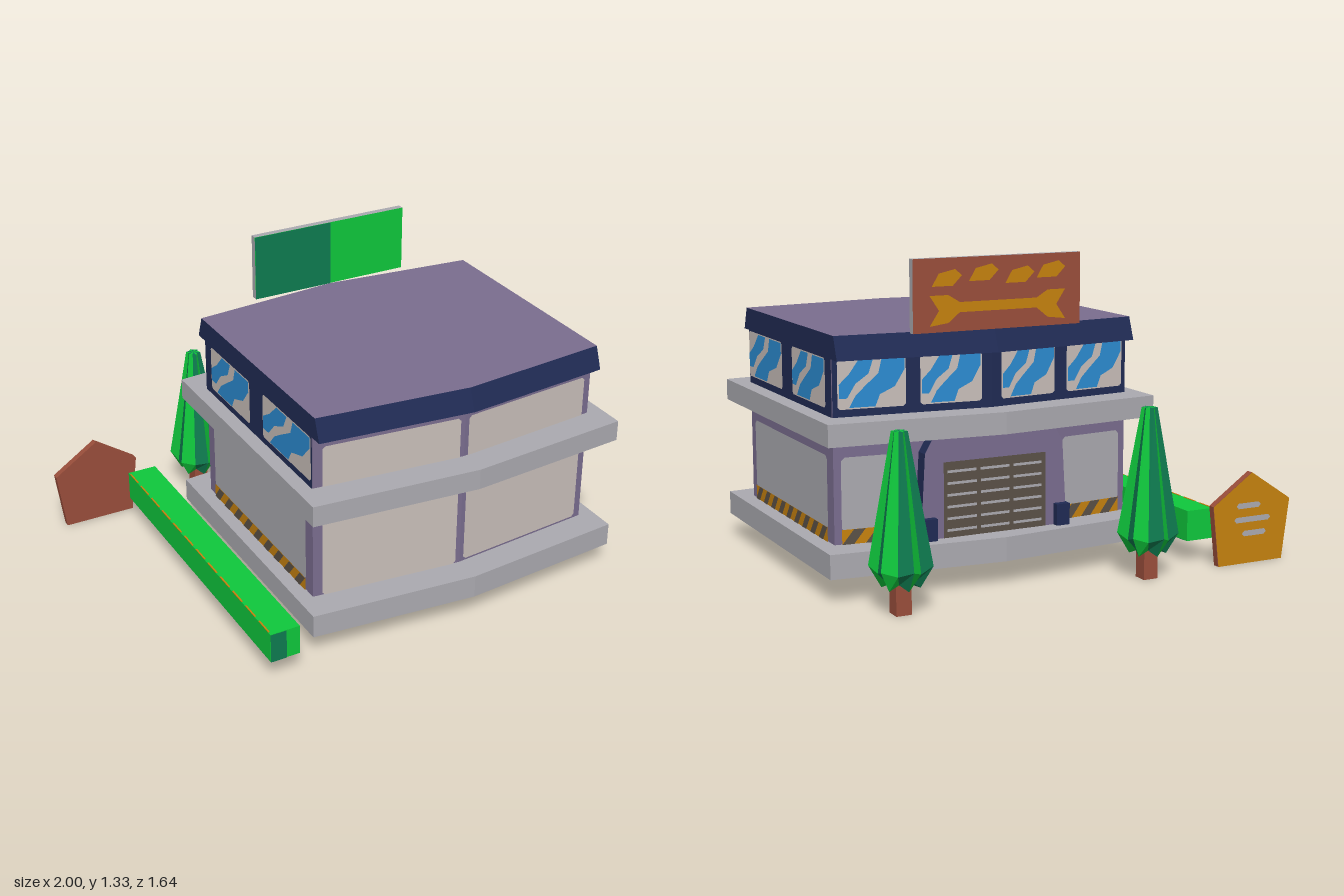
import * as THREE from 'three';

const mat = (name, color) => {
  const m = new THREE.MeshStandardMaterial({ color });
  m.name = name;
  return m;
};

export function createModel() {
  const purple = mat('purple', 0x7a6d8f), gray = mat('concrete gray', 0xabaab0), navy = mat('navy', 0x202b54),
    beige = mat('beige', 0xc9bfba), green = mat('bright green', 0x0fc83c), darkGreen = mat('dark green', 0x0e7c50),
    brown = mat('brown', 0x9a4e3b), orange = mat('orange', 0xc6820f), blue = mat('blue', 0x2c8cd2), dark = mat('dark brown', 0x5b5147);
  const model = new THREE.Group();
  model.name = 'building';
  const CX = 0.27;

  const add = (parent, name, geo, material, x = 0, y = 0, z = 0) => {
    const mesh = new THREE.Mesh(geo, material);
    mesh.name = name;
    mesh.position.set(x, y, z);
    parent.add(mesh);
    return mesh;
  };
  const box = (name, material, w, h, d, x, y, z) => add(model, name, new THREE.BoxGeometry(w, h, d), material, x, y, z);
  const toShape = (pts) => new THREE.Shape(pts.map(([x, y]) => new THREE.Vector2(x, y)));

  // Flat face that stands on the line A-B; local x runs along it, local z points outward
  const face = (name, ax, az, bx, bz) => {
    const g = new THREE.Group();
    g.name = name;
    g.position.set(ax, 0, az);
    g.rotation.y = Math.atan2(az - bz, bx - ax);
    model.add(g);
    return g;
  };
  const plate = (f, name, pts, material, off = 0.003) => add(f, name, new THREE.ShapeGeometry(toShape(pts)), material, 0, 0, off);
  // Rectangle with cut corners
  const rect = (x0, y0, x1, y1, c = 0) => c
    ? [[x0 + c, y0], [x1 - c, y0], [x1, y0 + c], [x1, y1 - c], [x1 - c, y1], [x0 + c, y1], [x0, y1 - c], [x0, y0 + c]]
    : [[x0, y0], [x1, y0], [x1, y1], [x0, y1]];

  // Plan with bowed front and back
  const plan = (x0, x1, back, backMid, front, frontMid) =>
    [[x0, front], [CX, frontMid], [x1, front], [x1, back], [CX, backMid], [x0, back]];
  const prism = (name, pts, y0, y1, material) => {
    const geo = new THREE.ExtrudeGeometry(toShape(pts.map(([x, z]) => [x, -z])), { depth: y1 - y0, bevelEnabled: false });
    geo.rotateX(-Math.PI / 2);
    return add(model, name, geo, material, 0, y0, 0);
  };

  // Slabs and walls
  const slabPlan = plan(-0.455, 1, -0.47, -0.535, 0.755, 0.82);
  prism('baseSlab', slabPlan, 0.1, 0.2, gray);
  prism('middleSlab', slabPlan, 0.62, 0.71, gray);
  prism('walls', plan(-0.39, 0.93, -0.34, -0.405, 0.63, 0.695), 0.2, 0.94, purple);

  // Roof, tapering towards the top at front and back
  const roof = prism('roof', plan(-0.393, 0.933, -0.405, -0.468, 0.69, 0.757), 0.94, 1.035, [purple, navy]);
  const rp = roof.geometry.attributes.position;
  for (let i = 0; i < rp.count; i++) {
    if (rp.getY(i) > 0.05) rp.setZ(i, rp.getZ(i) - 0.035 * Math.sign(rp.getZ(i) - 0.14));
  }
  roof.geometry.computeVertexNormals();

  // Underside with zigzag bands
  const underside = new THREE.Group();
  underside.name = 'underside';
  underside.rotation.x = Math.PI / 2;
  underside.position.y = 0.1;
  model.add(underside);
  plate(underside, 'undersidePanel', slabPlan, dark, 0.002);
  for (const dz of [-0.37, 0.02, 0.42]) {
    const line = [[-0.455, -0.03], [0.22, -0.01], [0.71, 0.22], [1, 0.11]];
    const low = line.map(([x, z]) => [x, z + dz - 0.06]);
    const high = line.map(([x, z]) => [x, z + dz + 0.06]).reverse();
    plate(underside, 'undersideBand', [...low, ...high], gray, 0.004);
  }

  // Window with diagonal reflections
  const shineA = [[0, 0.2], [0.12, 0.2], [0.25, 0.5], [0.45, 0.7], [0.52, 1], [0.3, 1], [0.15, 0.7], [0, 0.5]];
  const shineB = [[0.15, 0], [0.55, 0], [0.62, 0.25], [0.85, 0.4], [1, 0.75], [1, 1], [0.65, 1], [0.6, 0.7], [0.4, 0.45], [0.25, 0.25]];
  const windowPane = (f, u0, u1) => {
    plate(f, 'windowPane', rect(u0, 0.74, u1, 0.938, 0.01), beige, 0.005);
    for (const s of [shineA, shineB]) {
      plate(f, 'windowShine', s.map(([u, v]) => [u0 + 0.006 + u * (u1 - u0 - 0.012), 0.746 + v * 0.188]), blue, 0.007);
    }
  };
  // Gray wall panel above a hazard strip
  const wallPanel = (f, u0, u1) => {
    plate(f, 'wallPanel', rect(u0, 0.25, u1, 0.55, 0.015), gray);
    plate(f, 'hazardStrip', rect(u0, 0.2, u1, 0.26), orange, 0.005);
    const n = Math.round((u1 - u0) / 0.095), step = (u1 - u0) / n;
    for (let i = 0; i < n; i++) {
      const u = u0 + i * step;
      plate(f, 'hazardStripe', [[u, 0.2], [u + step * 0.5, 0.2], [u + step, 0.26], [u + step * 0.5, 0.26]], dark, 0.007);
    }
  };
  const dress = (f, length, flip, panels, windows) => {
    const span = ([a, b]) => flip ? [length - b, length - a] : [a, b];
    plate(f, 'upperWall', rect(0, 0.71, length, 0.94), navy);
    panels.forEach((p) => wallPanel(f, ...span(p)));
    windows.forEach((w) => windowPane(f, ...span(w)));
  };

  // Sides and back
  const half = Math.hypot(0.66, 0.065);
  dress(face('leftWall', 0.93, 0.63, 0.93, -0.34), 0.97, false, [[0.055, 0.91]], [[0.005, 0.42], [0.54, 0.91]]);
  dress(face('rightWall', -0.39, -0.34, -0.39, 0.63), 0.97, true, [[0.055, 0.91]], [[0.005, 0.42], [0.54, 0.91]]);
  const backWindows = [[0.02, 0.3], [0.36, 0.62]];
  dress(face('backWallLeft', 0.93, -0.34, CX, -0.405), half, false, [[0.03, 0.32]], backWindows);
  dress(face('backWallRight', CX, -0.405, -0.39, -0.34), half, true, [[0.03, 0.32]], backWindows);

  // Front panels
  const frontRight = face('frontWallRight', -0.39, 0.63, CX, 0.695);
  plate(frontRight, 'frontPanel', rect(0.04, 0.2, 0.643, 0.89, 0.012), beige);
  const frontLeft = face('frontWallLeft', CX, 0.695, 0.93, 0.63);
  plate(frontLeft, 'frontPanel', rect(0.018, 0.21, 0.63, 0.89, 0.012), beige);

  // Back entrance with shutter door
  const portalShape = toShape([[-0.33, 0.2], [0.33, 0.2], [0.31, 0.55], [0.27, 0.62], [-0.27, 0.62], [-0.31, 0.55]]);
  add(model, 'entranceFrame', new THREE.ExtrudeGeometry(portalShape, { depth: 0.095, bevelEnabled: false }), [purple, navy], CX, 0, -0.435);
  for (const s of [-1, 1]) box('entranceFoot', navy, 0.06, 0.09, 0.06, CX + s * 0.3, 0.245, -0.435);
  const doorFace = face('door', CX + 0.23, -0.435, CX - 0.23, -0.435);
  plate(doorFace, 'shutter', rect(0, 0.2, 0.46, 0.51), dark);
  for (let i = 0; i < 6; i++) {
    for (let j = 0; j < 3; j++) {
      const u = 0.015 + j * 0.148, y = 0.225 + i * 0.048;
      plate(doorFace, 'shutterSlat', rect(u, y, u + 0.13, y + 0.011), gray, 0.005);
    }
  }

  // Roof board
  box('roofBoard', [gray, gray, gray, darkGreen, green, brown], 0.74, 0.29, 0.03, CX, 1.18, -0.45);
  plate(face('roofBoardFront', -0.1, -0.435, CX, -0.435), 'boardHalf', rect(0, 1.035, 0.37, 1.325), darkGreen);
  const board = face('roofBoardBack', 0.64, -0.465, -0.1, -0.465);
  plate(board, 'boardBar', [[0.07, 1.06], [0.15, 1.07], [0.2, 1.11], [0.54, 1.11], [0.59, 1.07], [0.67, 1.06], [0.63, 1.12],
    [0.67, 1.18], [0.59, 1.18], [0.54, 1.15], [0.2, 1.15], [0.15, 1.18], [0.07, 1.18], [0.11, 1.12]], orange);
  [0.08, 0.24, 0.4, 0.54].forEach((u, i) => {
    const y = 1.215 + (i % 2) * 0.015;
    plate(board, 'boardPatch', [[u, y], [u + 0.09, y], [u + 0.13, y + 0.04], [u + 0.1, y + 0.065], [u + 0.03, y + 0.05]], orange);
  });

  // Pentagonal ground board
  const pentagon = [[-0.965, 0], [-0.645, 0], [-0.615, 0.26], [-0.805, 0.39], [-1, 0.26]];
  add(model, 'groundBoard', new THREE.ExtrudeGeometry(toShape(pentagon), { depth: 0.03, bevelEnabled: false }), brown, 0, 0, -0.695);
  const sign = face('groundBoardBack', 0, -0.695, -1, -0.695);
  plate(sign, 'boardFace', pentagon.map(([x, y]) => [-x, y]).reverse(), orange);
  [[0.73, 0.85, 0.25], [0.72, 0.9, 0.19], [0.76, 0.88, 0.13]].forEach(([a, b, y]) =>
    plate(sign, 'boardDash', rect(a, y - 0.012, b, y + 0.012, 0.01), gray, 0.005));

  // Hedge
  box('hedge', green, 0.13, 0.13, 1.42, -0.615, 0.165, 0.11);
  plate(face('hedgeEnd', -0.68, 0.82, -0.55, 0.82), 'hedgeEndShade', rect(0, 0.1, 0.07, 0.23), darkGreen);
  for (let i = 0; i < 12; i++) {
    const z = -0.54 + i * 0.118;
    box('hedgeTrim', orange, 0.007, 0.004, 0.085, -0.6765, 0.23, z);
    box('hedgeUndersideStripe', darkGreen, 0.128, 0.004, 0.055, -0.615, 0.1, z);
  }

  // Folded trees: ridges and valleys alternate around the crown
  const ring = (k, ridge, ridgeY, valley, valleyY) => {
    const a = k * Math.PI / 6, r = k % 2 ? valley : ridge;
    return [r * Math.sin(a), k % 2 ? valleyY : ridgeY, r * Math.cos(a)];
  };
  const crownPart = (parity) => {
    const v = [];
    for (let k = parity; k < 12; k += 2) {
      const [t0, t1] = [k, k + 1].map((i) => ring(i, 0.032, 0.71, 0.022, 0.71));
      const [m0, m1] = [k, k + 1].map((i) => ring(i, 0.125, 0.19, 0.095, 0.17));
      const [b0, b1] = [k, k + 1].map((i) => ring(i, 0.075, 0.105, 0.06, 0.13));
      const tris = [m0, m1, t1, m0, t1, t0, b0, b1, m1, b0, m1, m0, t0, t1, [0, 0.71, 0], b1, b0, [0, 0.13, 0]];
      tris.forEach((p) => v.push(...p));
    }
    const geo = new THREE.BufferGeometry();
    geo.setAttribute('position', new THREE.Float32BufferAttribute(v, 3));
    geo.computeVertexNormals();
    return geo;
  };
  const brightFolds = crownPart(0), darkFolds = crownPart(1);
  for (const x of [-0.295, 0.803]) {
    add(model, 'treeCrownBright', brightFolds, green, x, 0, -0.697);
    add(model, 'treeCrownDark', darkFolds, darkGreen, x, 0, -0.697);
    box('treeTrunk', brown, 0.064, 0.15, 0.064, x, 0.075, -0.692);
  }
  return model;
}
